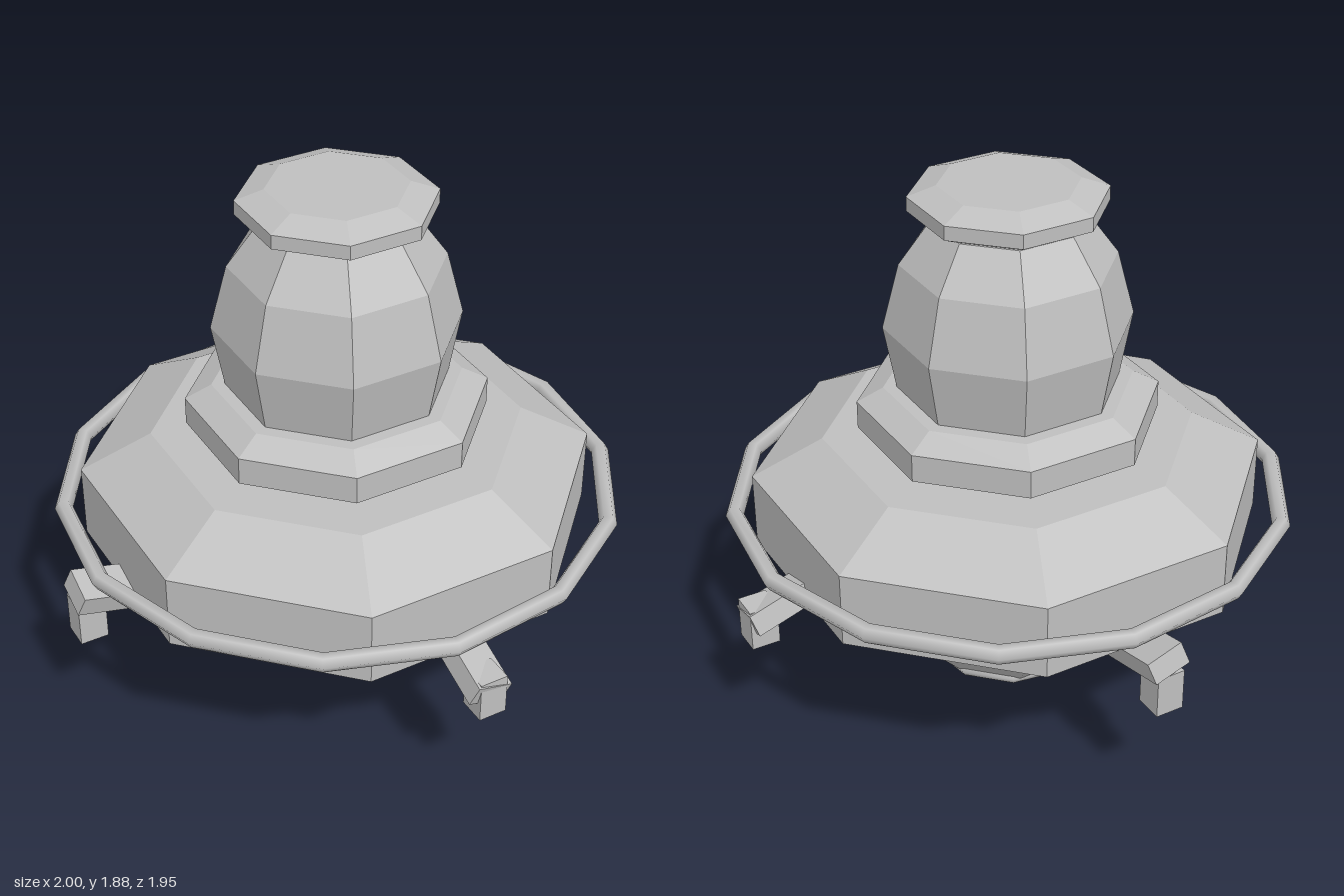
import * as THREE from 'three';

const faceted = new THREE.MeshStandardMaterial({ color: 0xbfbfbf, flatShading: true });
faceted.name = 'grey';
// same grey with smooth normals for the round tubes
const smooth = new THREE.MeshStandardMaterial({ color: 0xbfbfbf });
smooth.name = 'smooth grey';

export function createModel() {
  const model = new THREE.Group();

  const add = (name, geometry, material = faceted) => {
    const mesh = new THREE.Mesh(geometry, material);
    mesh.name = name;
    model.add(mesh);
    return mesh;
  };

  // eight-sided turned part; profile is [half width across flats, y], bottom to top
  const octagonal = (name, profile) => {
    const points = profile.map(([w, y]) => new THREE.Vector2(w / Math.cos(Math.PI / 8), y));
    points.unshift(new THREE.Vector2(0, profile[0][1]));
    points.push(new THREE.Vector2(0, profile[profile.length - 1][1]));
    return add(name, new THREE.LatheGeometry(points, 8, Math.PI / 8));
  };

  octagonal('lowerHull', [[0.14, 0], [0.235, 0.06], [0.28, 0.085], [0.42, 0.25], [0.64, 0.42]]);
  octagonal('mainBody', [[0.61, 0.415], [0.83, 0.56], [0.83, 0.83], [0.6, 0.965]]);
  octagonal('collar', [[0.42, 0.96], [0.485, 1.0], [0.485, 1.1], [0.4, 1.15]]);
  octagonal('dome', [[0.355, 1.14], [0.395, 1.38], [0.34, 1.61], [0.24, 1.76]]);
  octagonal('cap', [[0.225, 1.755], [0.31, 1.8], [0.31, 1.85], [0.22, 1.885]]);

  // horizontal rings
  const ring = (name, radius, tube, sides, y) => {
    const geometry = new THREE.TorusGeometry(radius, tube, 6, sides).rotateX(Math.PI / 2);
    add(name, geometry, smooth).position.y = y;
  };
  ring('outerRing', 0.968, 0.032, 14, 0.712);
  ring('bottomRing', 0.283, 0.025, 10, 0.082);

  // four diagonal arms, all tipped the same way about z, each with a small foot
  for (let i = 0; i < 4; i++) {
    const angle = Math.PI / 4 + (i * Math.PI) / 2;
    const x = Math.cos(angle), z = Math.sin(angle);

    const arm = add('arm', new THREE.BoxGeometry(0.38, 0.08, 0.135).rotateY(-angle).rotateZ(-0.4));
    arm.position.set(x * 0.84, 0.56, z * 0.84);

    const foot = add('foot', new THREE.BoxGeometry(0.1, 0.15, 0.1).rotateY(-angle));
    foot.position.set(x * 0.98, 0.492, z * 0.98);
  }

  return model;
}
